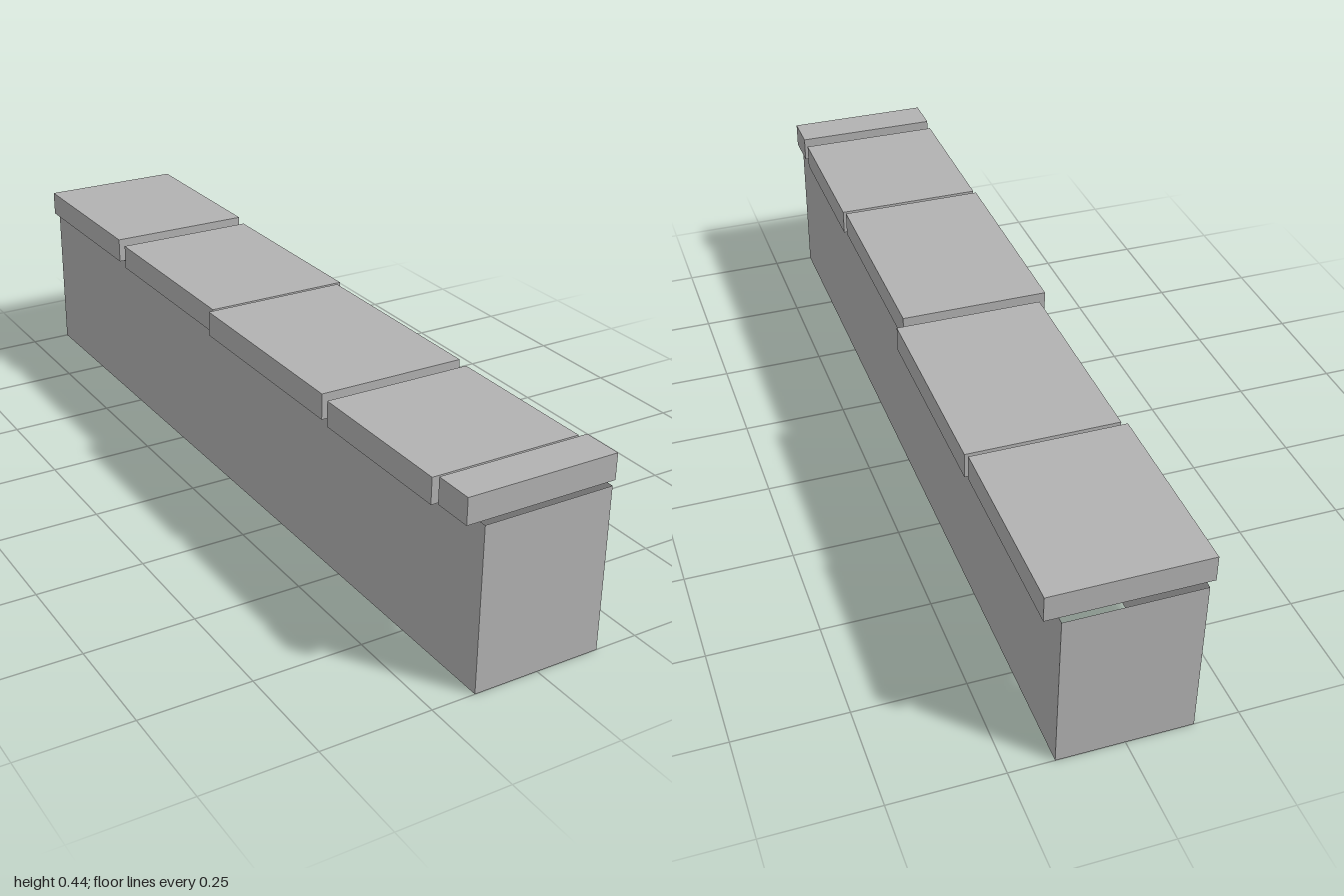
import * as THREE from 'three';

export function createModel() {
  const model = new THREE.Group();
  model.name = 'copedWall';
  const stone = new THREE.MeshStandardMaterial({ color: 0xb2b2b2, side: THREE.DoubleSide });
  stone.name = 'greyStone';

  // Wall: four thin faces, open at the top and the bottom
  const width = 0.3, height = 0.375, length = 2;
  const wall = new THREE.Group();
  wall.name = 'wall';
  for (let i = 0; i < 4; i++) {
    const isEnd = i % 2 === 0;
    const face = new THREE.Mesh(new THREE.PlaneGeometry(isEnd ? width : length, height), stone);
    face.name = ['wallFront', 'wallLeft', 'wallBack', 'wallRight'][i];
    const angle = i * Math.PI / 2;
    const reach = (isEnd ? length : width) / 2;
    face.rotation.y = angle;
    face.position.set(Math.sin(angle) * reach, height / 2, Math.cos(angle) * reach);
    wall.add(face);
  }
  model.add(wall);

  // Coping slabs, back to front, slightly uneven: [x min, x max, bottom, z min, z max]
  const thickness = 0.059;
  const slabs = [
    [-0.168, 0.182, 0.378, -0.989, -0.555],
    [-0.163, 0.183, 0.367, -0.533, -0.046],
    [-0.185, 0.161, 0.374, -0.024, 0.48],
    [-0.185, 0.163, 0.367, 0.501, 0.877],
    [-0.184, 0.166, 0.378, 0.898, 0.989],
  ];
  slabs.forEach(([x0, x1, y, z0, z1], i) => {
    const slab = new THREE.Mesh(new THREE.BoxGeometry(x1 - x0, thickness, z1 - z0), stone);
    slab.name = `copingSlab${i + 1}`;
    slab.position.set((x0 + x1) / 2, y + thickness / 2, (z0 + z1) / 2);
    model.add(slab);
  });

  return model;
}
